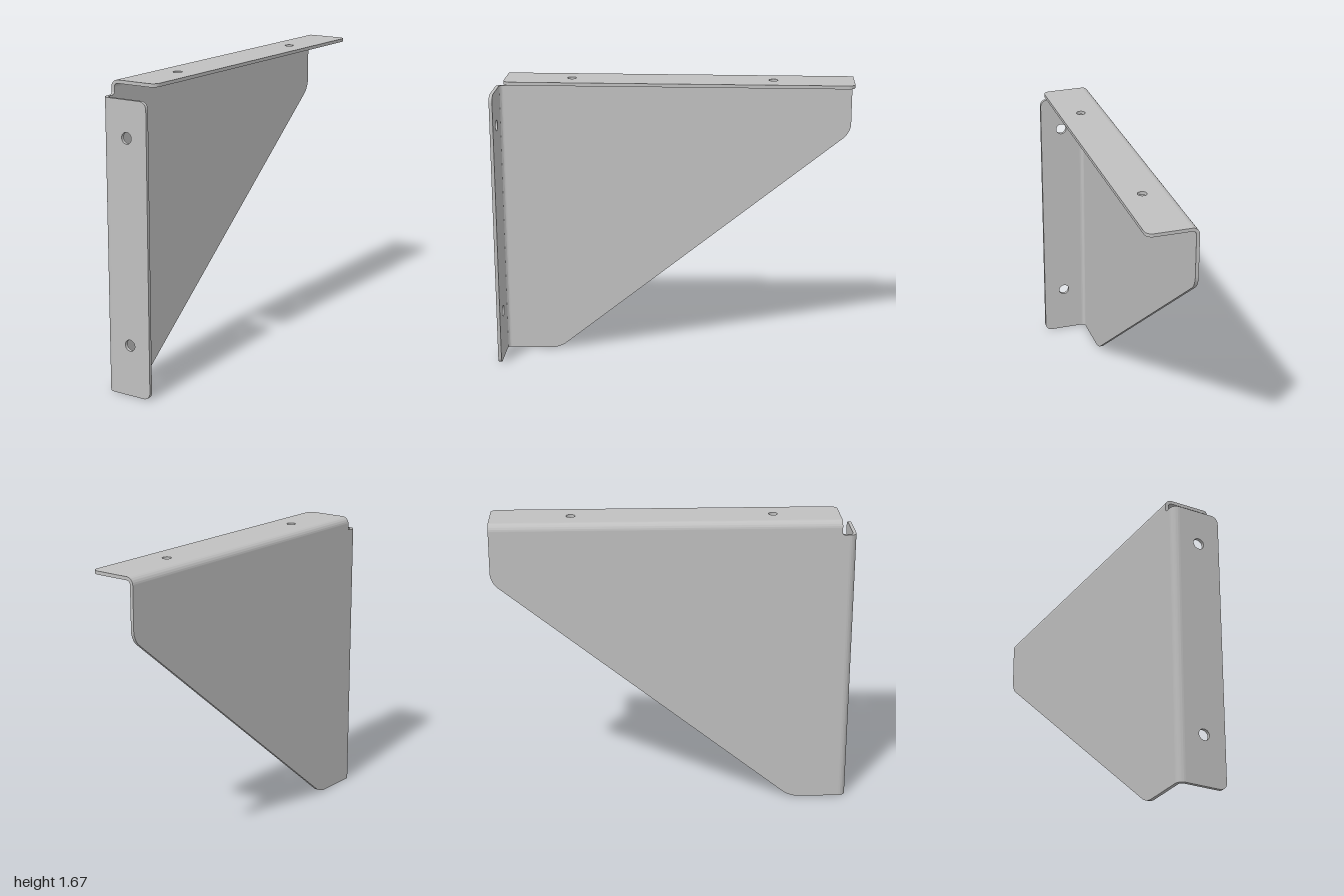
import * as THREE from 'three';
import { toCreasedNormals } from 'three/addons/utils/BufferGeometryUtils.js';

const W = 0.139;      // half width
const H = 1.667;      // full height
const T = 0.0185;     // sheet thickness
const R = 0.04;       // outer bend radius
const FRONT_TOP = 1.588; // top of the front flange
const TOP_FRONT = 0.92;  // front end of the top flange

// Closed polygon of [x, y, cut]: each corner is rounded over the length "cut"
function roundedShape(points) {
  const shape = new THREE.Shape();
  const n = points.length;
  points.forEach(([x, y, cut = 0], i) => {
    const p = new THREE.Vector2(x, y);
    const toward = (q, d) =>
      new THREE.Vector2(q[0], q[1]).sub(p).setLength(d).add(p);
    const prev = points[(i + n - 1) % n], next = points[(i + 1) % n];
    const a = cut ? toward(prev, cut) : p;
    if (i === 0) shape.moveTo(a.x, a.y);
    else shape.lineTo(a.x, a.y);
    if (cut) {
      const b = toward(next, cut);
      const c = toward(prev, cut * 0.45), d = toward(next, cut * 0.45);
      shape.bezierCurveTo(c.x, c.y, d.x, d.y, b.x, b.y);
    }
  });
  shape.closePath();
  return shape;
}

function addHole(shape, x, y, r) {
  const hole = new THREE.Path();
  hole.absarc(x, y, r, 0, Math.PI * 2, true);
  shape.holes.push(hole);
}

// Quarter ring: cross-section of a sheet bend
function bendShape(cx, cy, start) {
  const shape = new THREE.Shape();
  shape.absarc(cx, cy, R, start, start + Math.PI / 2, false);
  shape.absarc(cx, cy, R - T, start + Math.PI / 2, start, true);
  shape.closePath();
  return shape;
}

function extrude(shape, depth) {
  return new THREE.ExtrudeGeometry(shape, { depth, bevelEnabled: false, curveSegments: 16 });
}

export function createModel() {
  const group = new THREE.Group();
  group.name = 'shelfBracket';
  const steel = new THREE.MeshStandardMaterial({ color: 0xc0c0c0 });
  steel.name = 'grey steel';

  const add = (name, geometry) => {
    const mesh = new THREE.Mesh(toCreasedNormals(geometry, 0.6), steel);
    mesh.name = name;
    group.add(mesh);
  };

  // Side web, drawn in (-z, y), with a relief notch at the upper front
  const web = roundedShape([
    [-1 + R, 0], [-0.675, 0, 0.05], [1, 1.34, 0.05], [1, H - R],
    [-TOP_FRONT, H - R], [-TOP_FRONT, FRONT_TOP, 0.015], [-1 + R, FRONT_TOP],
  ]);
  add('sideWeb', extrude(web, T).rotateY(Math.PI / 2).translate(-W, 0, 0));

  // Front flange with two screw holes
  const front = roundedShape([
    [-W + R, 0], [W, 0, 0.04], [W, FRONT_TOP, 0.04], [-W + R, FRONT_TOP],
  ]);
  for (const y of [0.28, 1.39]) addHole(front, 0.014, y, 0.031);
  add('frontFlange', extrude(front, T).translate(0, 0, 1 - T));

  // Top flange with two screw holes, drawn in (x, -z)
  const top = roundedShape([
    [-W + R, -TOP_FRONT], [W, -TOP_FRONT, 0.04], [W, 1, 0.04], [-W + R, 1],
  ]);
  for (const z of [-0.558, 0.552]) addHole(top, 0.014, -z, 0.025);
  add('topFlange', extrude(top, T).rotateX(-Math.PI / 2).translate(0, H - T, 0));

  // Bends joining the flanges to the web
  add('frontBend', extrude(bendShape(-W + R, -1 + R, Math.PI), FRONT_TOP).rotateX(-Math.PI / 2));
  add('topBend', extrude(bendShape(-W + R, H - R, Math.PI / 2), 1 + TOP_FRONT).translate(0, 0, -1));

  return group;
}
